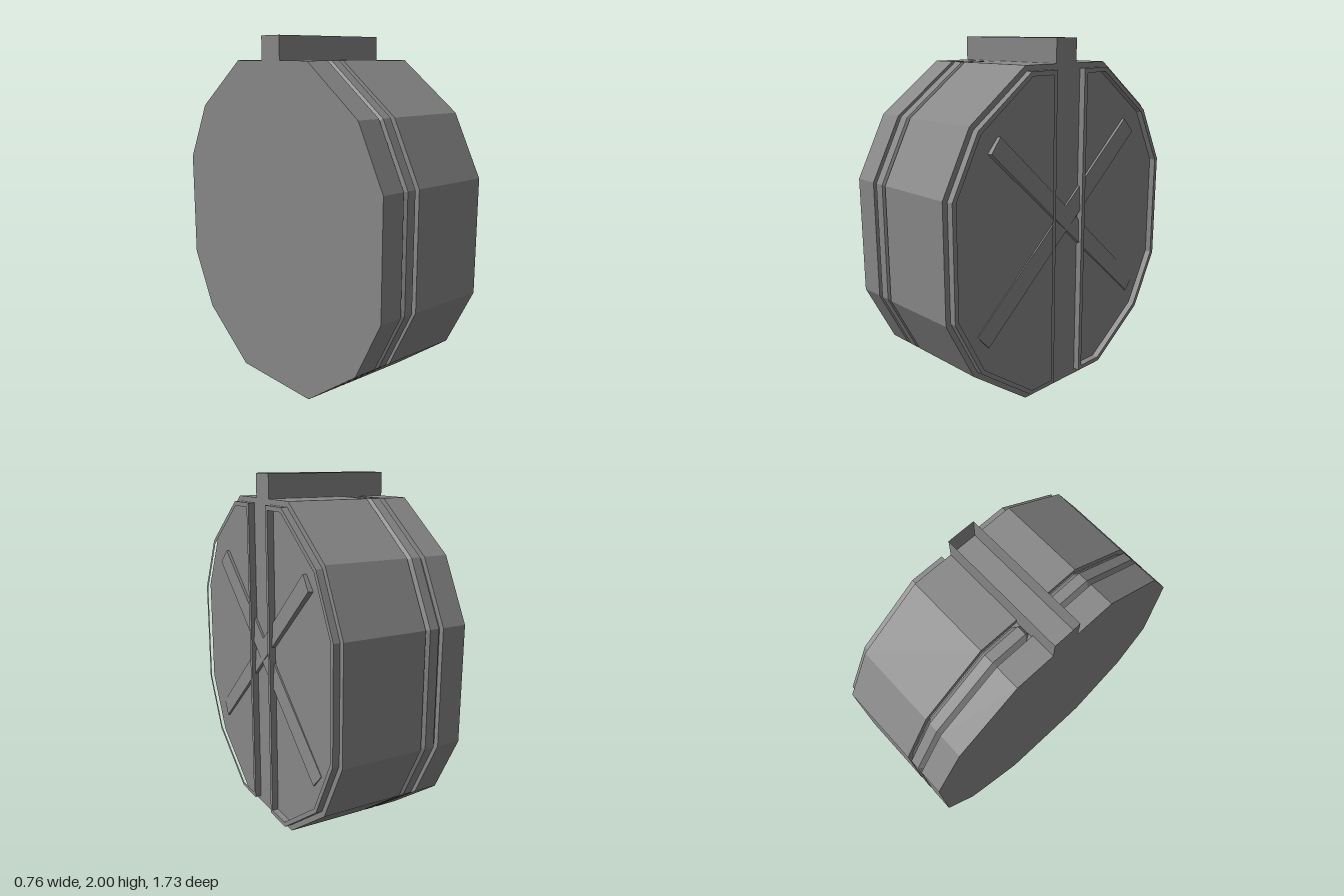
import * as THREE from 'three';

const material = new THREE.MeshStandardMaterial({ color: 0x888888, flatShading: true });
const thinMaterial = new THREE.MeshStandardMaterial({ color: 0x888888, flatShading: true, side: THREE.DoubleSide });

// Positions along x and the height of the drum
const BACK = -0.381, GROOVE_BACK = -0.241, GROOVE_FRONT = -0.131, FACE = 0.344, RIM = 0.381;
const TOP = 1.867;

// Right-hand side of the twelve-sided outline, bottom to top
const side = [[0.31, 0], [0.69, 0.275], [0.866, 0.615], [0.866, 1.255], [0.69, 1.592], [0.31, TOP]];
const mirror = (points, s) => points.map(([u, y]) => [u * s, y]);
const fullOutline = [...side, ...mirror(side, -1).reverse()];

// Moves every edge of a counter-clockwise convex outline inwards by d
function inset(points, d) {
  const n = points.length;
  const normal = (a, b) => new THREE.Vector2(a[1] - b[1], b[0] - a[0]).normalize();
  return points.map((p, i) => {
    const n1 = normal(points[(i + n - 1) % n], p);
    const n2 = normal(p, points[(i + 1) % n]);
    const k = d / (1 + n1.dot(n2));
    return [p[0] + (n1.x + n2.x) * k, p[1] + (n1.y + n2.y) * k];
  });
}

const toVectors = (points) => points.map(([u, y]) => new THREE.Vector2(u, y));

// Prism along x between x0 and x1, with an optional hole and bevel
function prism(name, points, x0, x1, { hole, bevel } = {}) {
  const shape = new THREE.Shape(toVectors(points));
  if (hole) shape.holes.push(new THREE.Path(toVectors(hole)));
  const geometry = new THREE.ExtrudeGeometry(shape, {
    depth: x1 - x0, bevelEnabled: false, ...bevel,
  });
  geometry.rotateY(Math.PI / 2).translate(x0, 0, 0);
  const mesh = new THREE.Mesh(geometry, material);
  mesh.name = name;
  return mesh;
}

function box(name, w, h, d, x, y, z) {
  const mesh = new THREE.Mesh(new THREE.BoxGeometry(w, h, d), material);
  mesh.position.set(x, y, z);
  mesh.name = name;
  return mesh;
}

export function createModel() {
  const model = new THREE.Group();
  model.name = 'drumCase';

  // Drum in two slices, joined by a smaller core that forms the groove
  model.add(prism('backSlice', fullOutline, BACK, GROOVE_BACK));
  model.add(prism('frontSlice', fullOutline, GROOVE_FRONT, FACE));
  model.add(prism('grooveCore', inset(fullOutline, 0.03), GROOVE_BACK, GROOVE_FRONT));
  model.add(box('grooveBridge', GROOVE_FRONT - GROOVE_BACK, TOP, 0.16, (GROOVE_BACK + GROOVE_FRONT) / 2, TOP / 2, 0));

  for (const s of [1, -1]) {
    // Chamfered band standing in the groove, with sloping ends
    const band = [[0.08, 0.03], [0.1, 0], ...side, [0.1, TOP], [0.08, TOP - 0.03]];
    model.add(prism('grooveBand', mirror(band, s), -0.213, -0.159, {
      bevel: {
        bevelEnabled: true, bevelSegments: 1, bevelSize: 0.03, bevelOffset: -0.03, bevelThickness: 0.022,
      },
    }));

    // Raised rim around each half of the face
    const rim = inset([[0.08, 0], ...side, [0.08, TOP]], 0.03);
    model.add(prism('faceRim', mirror(rim, s), FACE, RIM, { hole: mirror(inset(rim, 0.025), s) }));

    // Diagonal bar, tilted so its lower edge and upper end stand proud of the face
    const arm = new THREE.Group();
    arm.name = 'crossArm';
    arm.position.set(FACE + 0.001, 0.968, -0.044 * s);
    arm.rotation.x = -0.726 * s;
    const bar = box('crossBar', 0.03, 0.106, 1.56, 0, 0, 0);
    bar.rotation.set(0, 0.01 * s, 0.085);
    arm.add(bar);
    model.add(arm);
  }

  // Open-topped rail along the top: four thin walls
  const rail = new THREE.Group();
  rail.name = 'topRail';
  const railLength = FACE - BACK, railHeight = 2 - TOP;
  rail.position.set((FACE + BACK) / 2, TOP + railHeight / 2, 0);
  const wall = (name, width, x, z, turn) => {
    const mesh = new THREE.Mesh(new THREE.PlaneGeometry(width, railHeight), thinMaterial);
    mesh.position.set(x, 0, z);
    mesh.rotation.y = turn;
    mesh.name = name;
    rail.add(mesh);
  };
  for (const s of [1, -1]) {
    wall('railSide', railLength, 0, 0.08 * s, s > 0 ? 0 : Math.PI);
    wall('railEnd', 0.16, s * railLength / 2, 0, s * Math.PI / 2);
  }
  model.add(rail);

  return model;
}
